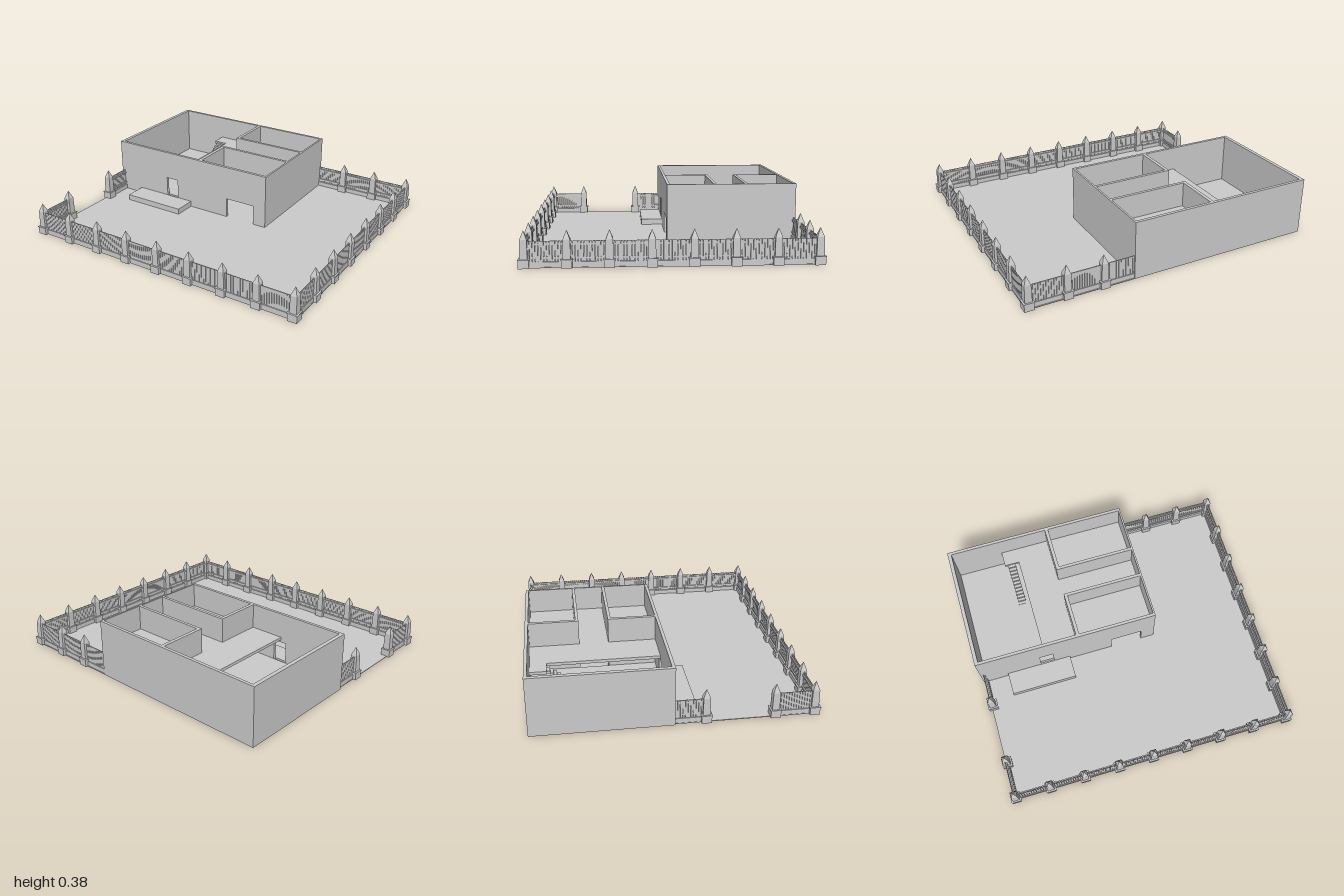
import * as THREE from 'three';
import { mergeGeometries } from 'three/addons/utils/BufferGeometryUtils.js';

const mat = new THREE.MeshStandardMaterial({ color: 0xcccccc, flatShading: true, side: THREE.DoubleSide });

// Box given by its lower and upper corners
function boxGeo(x0, y0, z0, x1, y1, z1) {
  return new THREE.BoxGeometry(x1 - x0, y1 - y0, z1 - z0)
    .translate((x0 + x1) / 2, (y0 + y1) / 2, (z0 + z1) / 2);
}

// Square frustum; rb and rt are half widths
function frustum(rb, rt, y0, y1) {
  return new THREE.CylinderGeometry(rt * Math.SQRT2, rb * Math.SQRT2, y1 - y0, 4)
    .rotateY(Math.PI / 4).translate(0, (y0 + y1) / 2, 0);
}

function add(parent, name, geo) {
  const mesh = new THREE.Mesh(geo, mat);
  mesh.name = name;
  parent.add(mesh);
  return mesh;
}

const postGeo = mergeGeometries([
  frustum(0.031, 0.031, 0, 0.046),
  frustum(0.034, 0.034, 0.046, 0.052),
  frustum(0.023, 0.021, 0.052, 0.165),
  frustum(0.021, 0.0005, 0.165, 0.218),
]);

// Low wall, rails and boards running from one point to another
function fencePanel(parent, [xa, za], [xb, zb]) {
  const length = Math.hypot(xb - xa, zb - za);
  const h = length / 2;
  const parts = [
    boxGeo(-h, 0, -0.011, h, 0.036, 0.011),
    boxGeo(-h, 0.05, -0.008, h, 0.062, 0),
    boxGeo(-h, 0.13, -0.008, h, 0.142, 0),
  ];
  const count = Math.max(2, Math.round(length / 0.0165));
  const pitch = length / count;
  for (let i = 0; i < count; i++) {
    const x = -h + (i + 0.5) * pitch;
    parts.push(boxGeo(x - pitch * 0.44, 0.036, 0, x + pitch * 0.44, 0.156, 0.006));
  }
  const panel = add(parent, 'fencePanel', mergeGeometries(parts));
  panel.position.set((xa + xb) / 2, 0, (za + zb) / 2);
  panel.rotation.y = Math.atan2(-(zb - za), xb - xa);
}

// Panels join consecutive posts; skip omits a post at the given index
function fenceRun(parent, points, skip = []) {
  points.forEach((p, i) => {
    if (!skip.includes(i)) add(parent, 'fencePost', postGeo).position.set(p[0], 0, p[1]);
    if (i > 0) fencePanel(parent, points[i - 1], p);
  });
}

function buildFence() {
  const fence = new THREE.Group();
  fence.name = 'fence';
  const X = 0.962, Z = 0.852;
  const front = [], side = [];
  for (let i = 0; i <= 8; i++) front.push([-X + (i * 2 * X) / 8, Z]);
  for (let i = 0; i <= 7; i++) side.push([X, Z - (i * 2 * Z) / 7]);
  fenceRun(fence, front);
  fenceRun(fence, side, [0]);
  fenceRun(fence, [[X, -Z], [0.717, -Z], [0.477, -Z], [0.27, -Z]], [0, 3]);
  // Gate opening on the -x side
  fenceRun(fence, [[-X, 0.608], [-X, Z]], [1]);
  fenceRun(fence, [[-X, -0.005], [-X, 0.185]], [0]);
  return fence;
}

function buildHouse() {
  const house = new THREE.Group();
  house.name = 'house';
  const L = -0.985, R = 0.275, B = -0.868, F = -0.004, H = 0.385, T = 0.02;
  const box = (name, ...c) => add(house, name, boxGeo(...c));

  // Front wall outline with two doorways cut from the bottom
  const outline = [[L, 0], [-0.56, 0], [-0.56, 0.185], [-0.465, 0.185], [-0.465, 0],
    [-0.04, 0], [-0.04, 0.145], [0.18, 0.145], [0.18, 0], [R, 0], [R, H], [L, H]];
  const shape = new THREE.Shape(outline.map(([x, y]) => new THREE.Vector2(x, y)));
  add(house, 'frontWall', new THREE.ExtrudeGeometry(shape, { depth: T, bevelEnabled: false })
    .translate(0, 0, F - T));

  // Outer walls
  box('backWall', L, 0, B, R, H, B + T);
  box('outerWallRight', L, 0, B + T, L + 0.025, H, F - T);
  box('outerWallLeft', R - 0.012, 0, B + T, R, H, F - T);

  // Two inner rooms with a corridor between them
  box('backRoomWall', -0.283, 0, B + T, -0.26, H, -0.525);
  box('backRoomDivider', -0.26, 0, -0.545, R - 0.012, H, -0.525);
  box('frontRoomWall', -0.283, 0, -0.335, -0.26, H, F - T);
  box('frontRoomDivider', -0.26, 0, -0.335, R - 0.012, H, -0.315);

  // Ground floor, upper floor and stair landing
  box('hallFloor', L + 0.025, 0.005, B + T, -0.283, 0.045, F - T);
  box('upperFloor', -0.52, 0.2, B + T, R - 0.012, 0.22, F - T);
  box('stairLanding', -0.622, 0.2, B + T, -0.52, 0.22, -0.742);

  // Stairs descending toward the front
  const steps = [], n = 12, z0 = -0.742, run = 0.25 / n, rise = 0.175 / n;
  for (let i = 0; i < n; i++) {
    const y = 0.22 - (i + 1) * rise + 0.004;
    steps.push(boxGeo(-0.602, y - 0.016, z0 + i * run, -0.546, y, z0 + (i + 1) * run));
  }
  add(house, 'stairs', mergeGeometries(steps));

  // Porch step
  box('porch', -0.805, 0, F, -0.35, 0.045, 0.15);
  return house;
}

export function createModel() {
  const model = new THREE.Group();
  model.name = 'walledHouse';
  add(model, 'ground', boxGeo(-0.975, 0, -0.868, 0.975, 0.005, 0.862));
  model.add(buildHouse(), buildFence());
  return model;
}
